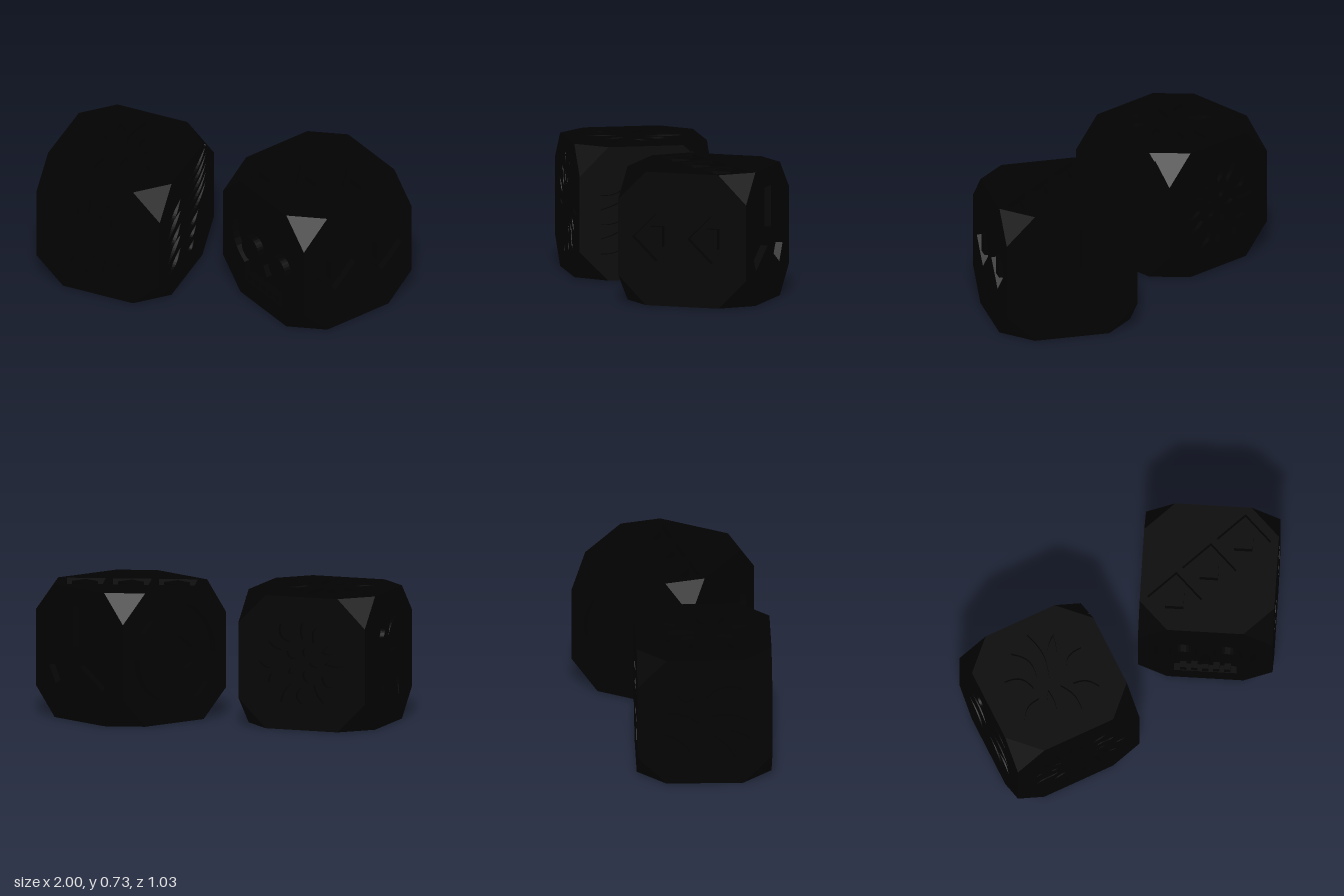
import * as THREE from 'three';
import { ConvexGeometry } from 'three/addons/geometries/ConvexGeometry.js';

const H = 0.365, CUT = 0.158; // half side, corner truncation
const V2 = (x, y) => new THREE.Vector2(x, y);
const material = new THREE.MeshStandardMaterial({ color: 0x020202 });

// A carving is a region { pts, inner }: inner regions alternate raised / cut.
const region = (pts, inner = []) => ({ pts, inner });
const poly = (...xy) => xy.map(([x, y]) => V2(x, y));
const place = (pts, x, y, a = 0) => pts.map(p => p.clone().rotateAround(V2(0, 0), a).add(V2(x, y)));
const box = (w, h) => poly([-w / 2, -h / 2], [w / 2, -h / 2], [w / 2, h / 2], [-w / 2, h / 2]);
const oval = (rx, ry = rx, n = 32) => Array.from({ length: n }, (_, i) =>
  V2(rx * Math.cos(i / n * 2 * Math.PI), ry * Math.sin(i / n * 2 * Math.PI)));

// Tapered stroke, bowed by bend and waved by wave
function leaf(x, y, angle, length, width, bend = 0, wave = 0) {
  const N = 12, pts = [];
  const at = (t, s) => V2(length * t,
    bend * 4 * t * (1 - t) + wave * Math.sin(2 * Math.PI * t) + s * width / 2 * Math.sin(Math.PI * t));
  for (let i = 0; i <= N; i++) pts.push(at(i / N, -1));
  for (let i = N - 1; i > 0; i--) pts.push(at(i / N, 1));
  return region(place(pts, x, y, angle));
}

// Truncated cube corner points: two coordinates at full size, one shortened
function truncatedCube(h, c) {
  const pts = [];
  for (const x of [-1, 1]) for (const y of [-1, 1]) for (const z of [-1, 1])
    for (let k = 0; k < 3; k++) {
      const p = [x * h, y * h, z * h];
      p[k] *= (h - c) / h;
      pts.push(new THREE.Vector3(...p));
    }
  return pts;
}

// Raised layer with cuts; islands inside the cuts are added recursively
function addRaised(group, pts, cuts, depth) {
  const shape = new THREE.Shape(pts);
  cuts.forEach(c => shape.holes.push(new THREE.Path(c.pts)));
  const geo = new THREE.ExtrudeGeometry(shape, { depth, bevelEnabled: false });
  geo.translate(0, 0, H - depth);
  const mesh = new THREE.Mesh(geo, material);
  mesh.name = 'engravedSurface';
  group.add(mesh);
  cuts.forEach(c => c.inner.forEach(i => addRaised(group, i.pts, i.inner, depth)));
}

const FACES = {
  front: [0, 0], right: [0, Math.PI / 2], back: [0, Math.PI], left: [0, -Math.PI / 2],
  top: [-Math.PI / 2, 0], bottom: [Math.PI / 2, 0],
};

function makeDie(name, carvings, depth) {
  const die = new THREE.Group();
  die.name = name;

  // Core forms the floor of every engraving
  const core = new THREE.Mesh(new ConvexGeometry(truncatedCube(H - depth, CUT - 3 * depth)), material);
  core.name = 'core';
  die.add(core);

  // Triangular corner facets
  const corners = truncatedCube(H, CUT);
  for (let i = 0; i < 24; i += 3) {
    const tri = corners.slice(i, i + 3);
    const inside = tri[0].clone().add(tri[1]).add(tri[2]).multiplyScalar(0.25);
    const facet = new THREE.Mesh(new ConvexGeometry([...tri, inside]), material);
    facet.name = 'cornerFacet';
    die.add(facet);
  }

  // Octagonal engraved faces
  const a = H - CUT;
  const octagon = poly([a, -H], [H, -a], [H, a], [a, H], [-a, H], [-H, a], [-H, -a], [-a, -H]);
  for (const [side, [rx, ry]] of Object.entries(FACES)) {
    const face = new THREE.Group();
    face.name = side + 'Face';
    face.rotation.set(rx, ry, 0);
    addRaised(face, octagon, carvings[side], depth);
    die.add(face);
  }
  return die;
}

// Ring of strokes pointing outwards, alternately long and short
function radial(count, radius, length, width, bend, wave) {
  return Array.from({ length: count }, (_, i) => {
    const t = i / count * 2 * Math.PI, s = i % 2 ? -1 : 1;
    return leaf(radius * Math.cos(t), radius * Math.sin(t), t, length * (0.9 + 0.1 * s), width, bend * s, wave);
  });
}

// Carvings of the organic die
function organicCarvings() {
  const burst = radial(14, 0.11, 0.18, 0.024, 0, 0.014);
  const wreath = [...radial(12, 0.13, 0.12, 0.045, 0.012, 0), ...radial(5, 0.04, 0.07, 0.035, 0, 0)];

  // Claw: long slashes at the upper right, short marks at the left and below
  const claw = [];
  for (let i = 0; i < 5; i++) {
    claw.push(leaf(0, 0.06 * i, 0.35, 0.27, 0.035, -0.03));
    claw.push(leaf(-0.25, 0.1 - 0.08 * i, 0.5, 0.19, 0.05, i % 2 ? 0.01 : -0.01));
  }
  for (let i = 0; i < 3; i++) claw.push(leaf(0, -0.08 - 0.07 * i, 0.3, 0.16 - 0.03 * i, 0.04, -0.015));

  // Flame: one tall spike, with leaves fanning out on both sides
  const flame = [leaf(0, 0, Math.PI / 2, 0.28, 0.06)];
  for (const s of [-1, 1]) flame.push(
    leaf(s * 0.06, 0.03, Math.PI / 2 - s * 0.35, 0.2, 0.05, s * 0.015),
    leaf(s * 0.1, -0.02, Math.PI / 2 - s * 0.9, 0.17, 0.05, s * 0.015),
    leaf(s * 0.1, -0.08, -Math.PI / 2 + s, 0.15, 0.05),
    leaf(s * 0.035, -0.06, -Math.PI / 2 + s * 0.25, 0.19, 0.045));

  // Curls around a round head
  const curls = [region(place(oval(0.045), -0.1, 0.16))];
  for (const [x, y, a, l, b] of [[0, 0.12, 0.3, 0.22, 0.07], [0.02, 0.02, -0.1, 0.22, 0.05],
    [-0.22, 0.04, -0.3, 0.2, 0.05], [-0.24, -0.08, -0.6, 0.2, 0.05], [0.02, -0.08, -0.8, 0.2, 0.05],
    [0.12, -0.06, -0.4, 0.14, 0.04]]) curls.push(leaf(x, y, a, l, 0.05, b));

  // Eye: almond ring around an oval iris ring
  const almond = (w, h) => {
    const N = 12, p = [];
    for (let i = 0; i < N; i++) p.push(V2(-w + 2 * w * i / N, -h * Math.sin(Math.PI * i / N)));
    for (let i = 0; i < N; i++) p.push(V2(w - 2 * w * i / N, h * Math.sin(Math.PI * i / N)));
    return p;
  };
  const eye = region(almond(0.29, 0.21),
    [region(almond(0.25, 0.17), [region(oval(0.14, 0.12), [region(oval(0.1, 0.08))])])]);
  return { front: burst, right: claw, back: wreath, left: curls, top: flame, bottom: [eye] };
}

// Carvings of the emblem die
function emblemCarvings() {
  // Skull: round cranium and narrow jaw, with raised eyes, nose and teeth
  const skull = [];
  for (let i = 0; i <= 28; i++) {
    const t = -0.7 + (Math.PI + 1.4) * i / 28;
    skull.push(V2(0.28 * Math.cos(t), 0.04 + 0.24 * Math.sin(t)));
  }
  skull.push(V2(-0.17, -0.15), V2(-0.17, -0.26), V2(0.17, -0.26), V2(0.17, -0.15));
  const features = [-1, 1].map(s => region(place(oval(0.075), s * 0.12, -0.04)));
  features.push(region(poly([-0.03, -0.14], [0.03, -0.14], [0, -0.08])));
  for (let i = 0; i < 5; i++) features.push(region(place(box(0.035, 0.04), -0.12 + 0.06 * i, -0.23)));

  // Pair of diamonds with raised centres
  const diamond = poly([0, -0.13], [0.135, 0], [0, 0.135], [-0.135, 0]);
  const pair = [-0.15, 0.165].map(x => region(place(diamond, x, 0.005), [region(place(box(0.07, 0.11), x, 0.01))]));

  // Three spokes
  const spokes = [], w = 0.055;
  for (let k = 0; k < 3; k++) {
    const a = Math.PI / 2 + k * 2 * Math.PI / 3;
    spokes.push(...place(poly([0.26, -w], [0.26, w]), 0, 0, a));
    spokes.push(V2(1, 0).rotateAround(V2(0, 0), a + Math.PI / 3).multiplyScalar(w / Math.sin(Math.PI / 3)));
  }

  // Ring around a double curl
  const curl = [leaf(-0.14, 0.035, 0, 0.27, 0.06, 0.05), leaf(0.14, -0.035, Math.PI, 0.27, 0.06, 0.05)];
  const ring = region(oval(0.29), [region(oval(0.25), curl)]);

  // Row of squares along a face diagonal, each with a raised diamond
  const row = angle => [-0.25, 0, 0.25].map(u => {
    const x = u * Math.cos(angle), y = u * Math.sin(angle);
    return region(place(box(0.21, 0.21), x, y, angle), [region(place(box(0.1, 0.1), x, y, angle + Math.PI / 4))]);
  });
  return {
    front: [region(skull, features)], right: pair, back: [region(spokes)], left: [ring],
    top: row(Math.PI / 4), bottom: row(-Math.PI / 4),
  };
}

export function createModel() {
  const model = new THREE.Group();
  model.name = 'pairOfDice';
  const organic = makeDie('organicDie', organicCarvings(), 0.025);
  organic.position.set(-0.583, H, 0.021);
  organic.rotation.y = -0.157;
  const emblem = makeDie('emblemDie', emblemCarvings(), 0.04);
  emblem.position.set(0.486, H, -0.001);
  emblem.rotation.y = -0.668;
  model.add(organic, emblem);
  return model;
}
